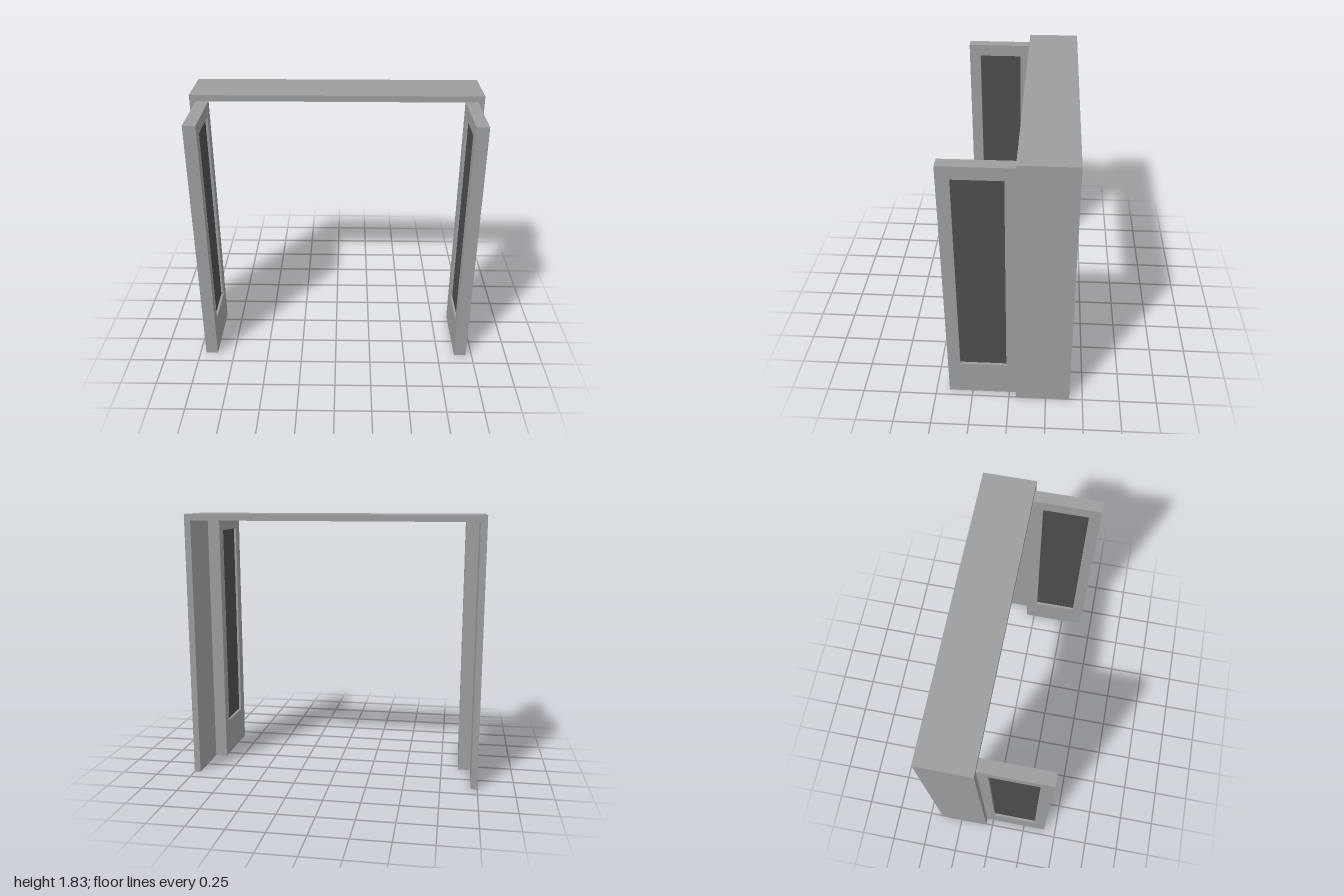
import * as THREE from 'three';

const grey = new THREE.MeshStandardMaterial({ color: 0x9d9d9d, flatShading: true });
const dark = new THREE.MeshStandardMaterial({ color: 0x4d4d4d, flatShading: true });

const polygon = (points) => new THREE.Shape(points.map(([x, y]) => new THREE.Vector2(x, y)));
const rectangle = (x0, x1, y0, y1) => polygon([[x0, y0], [x1, y0], [x1, y1], [x0, y1]]);

function addMesh(parent, name, geometry, material) {
  const mesh = new THREE.Mesh(geometry, material);
  mesh.name = name;
  parent.add(mesh);
}

export function createModel() {
  const model = new THREE.Group();
  model.name = 'doorway';

  // Door frame: two jambs and a lintel in one piece, open at the floor
  const W = 1, H = 1.829, T = 0.043;
  const zBack = -0.41, zJoin = -0.05;
  const outline = polygon([
    [-W, 0], [-W + T, 0], [-W + T, H - T], [W - T, H - T],
    [W - T, 0], [W, 0], [W, H], [-W, H],
  ]);
  const frame = new THREE.ExtrudeGeometry(outline, { depth: zJoin - zBack, bevelEnabled: false });
  frame.translate(0, 0, zBack);
  addMesh(model, 'doorFrame', frame, grey);

  // Door leaf, reaching a little way in between the jambs; shape x runs along -z once turned
  const leafFront = 0.41, leafBack = -0.065;
  const thickness = 0.085, recess = 0.017;
  const win = { z0: 0.018, z1: 0.328, y0: 0.257, y1: 1.702 };
  const leafShape = rectangle(-leafFront, -leafBack, 0, H - T);
  leafShape.holes.push(rectangle(-win.z1, -win.z0, win.y0, win.y1));
  const leaf = new THREE.ExtrudeGeometry(leafShape, { depth: thickness, bevelEnabled: false });
  leaf.rotateY(Math.PI / 2);
  leaf.translate(-thickness / 2, 0, 0);

  // Recessed window pane
  const pane = new THREE.BoxGeometry(thickness - 2 * recess, win.y1 - win.y0, win.z1 - win.z0);
  pane.translate(0, (win.y0 + win.y1) / 2, (win.z0 + win.z1) / 2);

  // A pair of doors standing open
  for (const [name, side] of [['leftDoor', 1], ['rightDoor', -1]]) {
    const door = new THREE.Group();
    door.name = name;
    door.position.x = side * (W - T - thickness / 2);
    addMesh(door, 'doorLeaf', leaf, grey);
    addMesh(door, 'windowPane', pane, dark);
    model.add(door);
  }

  return model;
}
